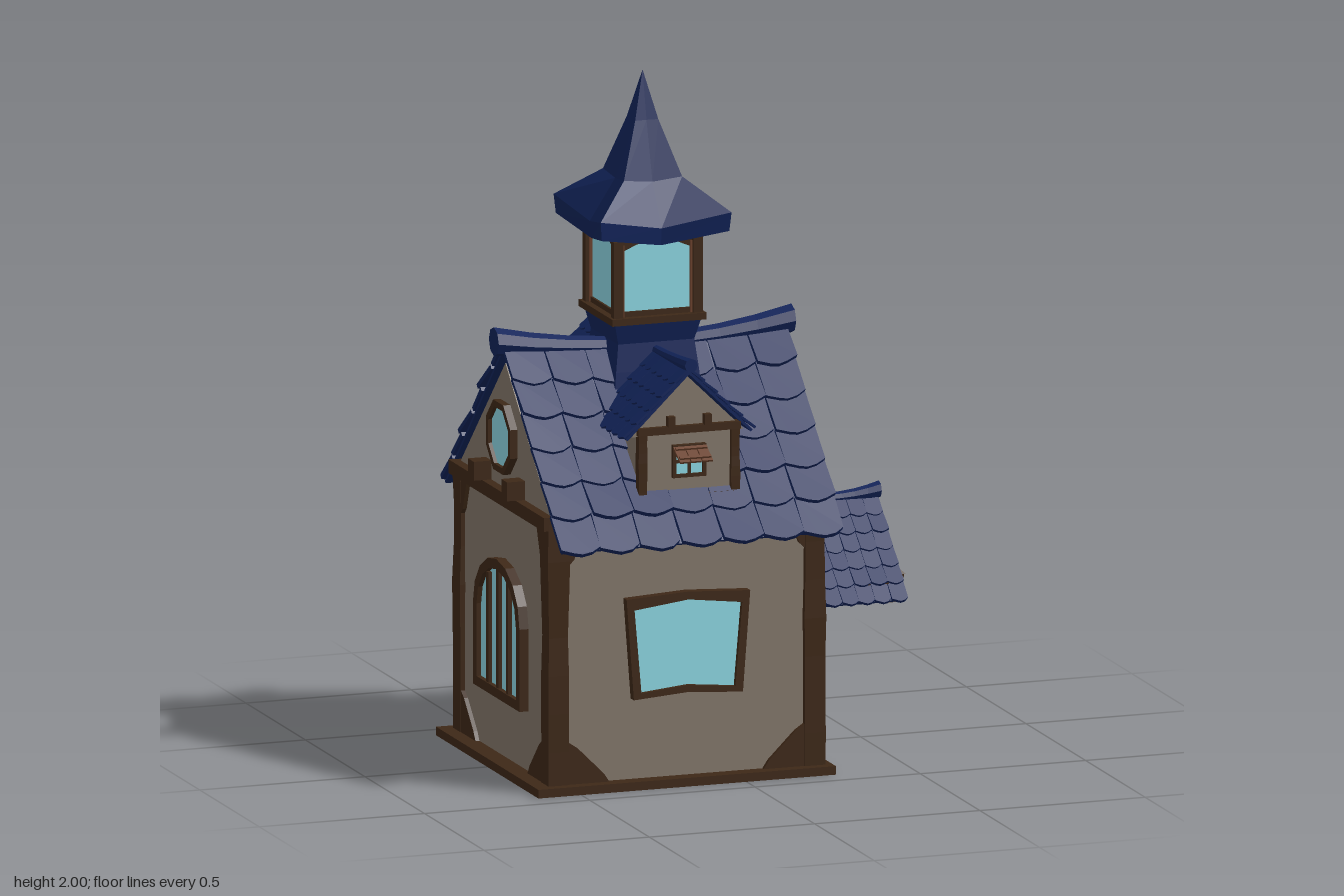
import * as THREE from 'three';
import { mergeGeometries } from 'three/addons/utils/BufferGeometryUtils.js';

const mat = (color, side = THREE.FrontSide) => new THREE.MeshStandardMaterial({ color, side, flatShading: true });
const BLUE = mat(0x12245a), WOOD = mat(0x3e2817), PLANK = mat(0x6b412c), DOOR = mat(0x4a2a18);
const WALL = mat(0x84786b, THREE.DoubleSide), GLASS = mat(0x8ed8e4, THREE.DoubleSide), BRASS = mat(0xc9a45a);
const CX = -0.17, TX = -0.16, SLOPE = 0.97;

function add(parent, name, geo, material, x = 0, y = 0, z = 0) {
  const m = new THREE.Mesh(geo, material);
  m.name = name;
  m.position.set(x, y, z);
  parent.add(m);
  return m;
}
const box = (p, name, w, h, d, m, x, y, z) => add(p, name, new THREE.BoxGeometry(w, h, d), m, x, y, z);
const group = (p, name, x = 0, y = 0, z = 0, turn = 0) => {
  const g = new THREE.Group();
  g.name = name;
  g.position.set(x, y, z);
  g.rotation.y = turn;
  p.add(g);
  return g;
};
const vecs = (pts) => pts.map(([x, y]) => new THREE.Vector2(x, y));
const poly = (pts, depth, hole) => {
  const s = new THREE.Shape(vecs(pts));
  if (hole) s.holes.push(new THREE.Path(vecs(hole)));
  return new THREE.ExtrudeGeometry(s, { depth, bevelEnabled: false });
};
// frame with a glass pane, facing +z
function framed(p, name, outer, inner, depth, z = 0) {
  add(p, name + 'Frame', poly(outer, depth, inner), WOOD, 0, 0, z);
  add(p, name + 'Pane', new THREE.ShapeGeometry(new THREE.Shape(vecs(inner))), GLASS, 0, 0, z + depth * 0.5);
}
const wobble = (i) => Math.sin(i * 12.9898) * 0.5 + Math.sin(i * 4.137) * 0.5;

// two tiled slopes; ridge along local x at the origin
function tiledRoof(p, name, len, run, rows, cols, thick, sag = 0) {
  const a = Math.atan(SLOPE), L = run / Math.cos(a), h = L / (rows + 0.25), w = len / cols, parts = [];
  for (const turn of [0, Math.PI]) {
    const place = (g) => parts.push(g.rotateX(a - Math.PI / 2).rotateY(turn));
    place(new THREE.BoxGeometry(len * 0.98, L * 0.96, 0.008).toNonIndexed().translate(0, -L * 0.48, -0.004));
    for (let r = 0; r < rows; r++) for (let c = 0; c < cols; c++) {
      const n = wobble(r * 7 + c * 3 + turn + 1), e = w * 0.485, j = w * 0.05 * n;
      const g = poly([[-e, 0], [-e + j, -h * 1.07], [-e * 0.4, -h * 1.2], [j, -h * 1.25],
        [e * 0.5, -h * 1.19], [e + j, -h * (1.05 + 0.04 * n)], [e, 0]], thick);
      place(g.rotateX(-0.1 - 0.03 * n).translate((c + 0.5) * w - len / 2, -r * h, 0));
    }
  }
  const geo = mergeGeometries(parts), v = geo.attributes.position;
  for (let i = 0; i < v.count; i++) {
    const u = 2 * v.getX(i) / len, t = Math.max(0, 1 - Math.abs(v.getZ(i)) / run);
    v.setY(i, v.getY(i) + sag * u * u * t);
  }
  geo.computeVertexNormals();
  return add(p, name, geo, BLUE);
}
// ridge cap along local x, swept up and thickened toward its ends
function ridge(p, name, len, r, lift, x, y, z) {
  const g = new THREE.CylinderGeometry(r, r, len, 8, 8).rotateZ(Math.PI / 2), v = g.attributes.position;
  for (let i = 0; i < v.count; i++) {
    const u = (2 * v.getX(i) / len) ** 2, k = 0.65 + 0.35 * u;
    v.setXYZ(i, v.getX(i), v.getY(i) * k + lift * u, v.getZ(i) * k);
  }
  return add(p, name, g, BLUE, x, y, z);
}
function post(p, name, w, h, x, y, z) {
  const g = new THREE.BoxGeometry(w, h, w, 1, 7, 1), v = g.attributes.position;
  for (let i = 0; i < v.count; i++) {
    const k = 1 + 0.1 * wobble(Math.round(v.getY(i) * 100) + x * 9 + z * 5);
    v.setX(i, v.getX(i) * k);
    v.setZ(i, v.getZ(i) * k);
  }
  return add(p, name, g, WOOD, x, y, z);
}

// diagonal corner braces of one wall
function braces(p, half) {
  for (const s of [-1, 1]) {
    const low = [[half, 0.02], [half, 0.15], [half - 0.03, 0.13], [half - 0.11, 0.05], [half - 0.13, 0.02]];
    const high = [[half, 0.76], [half - 0.05, 0.76], [half - 0.02, 0.68], [half, 0.66]];
    for (const pts of [low, high]) {
      const q = pts.map(([x, y]) => [x * s, y]);
      add(p, 'brace', poly(q, 0.012), WOOD);
    }
  }
}

function spireRoof(p) {
  // [half width at side middle, y, half width at corner, y] from tip to underside
  const rows = [[0, 2, 0, 2], [0.033, 1.86, 0.035, 1.86], [0.083, 1.69, 0.088, 1.7], [0.16, 1.57, 0.198, 1.61],
    [0.155, 1.52, 0.193, 1.555], [0.12, 1.535, 0.12, 1.535], [0, 1.54, 0, 1.54]];
  const g = new THREE.CylinderGeometry(1, 1, 1, 8, rows.length - 1, true), v = g.attributes.position;
  for (let i = 0; i < v.count; i++) {
    const k = i % 9, [m, my, c, cy] = rows[Math.floor(i / 9)], t = k * Math.PI / 4;
    const r = k % 2 ? c * Math.SQRT2 : m;
    v.setXYZ(i, Math.sin(t) * r, k % 2 ? cy : my, Math.cos(t) * r);
  }
  add(p, 'spireRoof', g, BLUE);
}

function tower(root) {
  const t = group(root, 'tower', TX);
  const prof = vecs([[0.14, 1.0], [0.125, 1.15], [0.115, 1.23], [0.13, 1.29]].map(([r, y]) => [r * Math.SQRT2, y]));
  add(t, 'towerBase', new THREE.LatheGeometry(prof, 4, Math.PI / 4), BLUE);
  box(t, 'towerPlatform', 0.285, 0.02, 0.285, WOOD, 0, 1.3, 0);
  for (let i = 0; i < 4; i++) {
    const f = group(t, 'towerSide', 0, 0, 0, i * Math.PI / 2);
    framed(f, 'towerWindow', [[-0.12, 1.31], [0.12, 1.31], [0.12, 1.54], [-0.12, 1.54]],
      [[-0.105, 1.325], [0.105, 1.325], [0.108, 1.5], [0.06, 1.52], [0, 1.527], [-0.06, 1.52], [-0.108, 1.5]], 0.014, 0.108);
    box(f, 'towerPost', 0.028, 0.225, 0.028, WOOD, 0.12, 1.42, 0.12);
    for (const s of [-1, 1]) box(f, 'towerTrim', 0.008, 0.21, 0.008, PLANK, s * 0.104, 1.415, 0.12);
  }
  spireRoof(t);
}

function dormer(root, turn) {
  const d = group(root, 'dormer', TX, 0, 0, turn);
  add(d, 'dormerWall', poly([[-0.145, 0.82], [0.145, 0.82], [0.145, 1.02], [0.17, 1.02], [0, 1.185], [-0.17, 1.02], [-0.145, 1.02]], 0.28), WALL, 0, 0, 0.1);
  for (const s of [-1, 1]) {
    post(d, 'dormerPost', 0.026, 0.2, s * 0.14, 0.93, 0.38);
    box(d, 'beamEnd', 0.022, 0.03, 0.03, WOOD, s * 0.055, 1.06, 0.385);
  }
  box(d, 'dormerSill', 0.3, 0.022, 0.03, WOOD, 0, 0.835, 0.38);
  box(d, 'dormerBeam', 0.31, 0.022, 0.03, WOOD, 0, 1.035, 0.38);
  framed(d, 'dormerWindow', [[-0.05, 0.895], [0.05, 0.895], [0.05, 0.99], [-0.05, 0.99]],
    [[-0.04, 0.905], [0.04, 0.905], [0.04, 0.98], [-0.04, 0.98]], 0.016, 0.38);
  box(d, 'windowBar', 0.009, 0.08, 0.012, WOOD, 0, 0.942, 0.388);
  box(d, 'windowBar', 0.08, 0.009, 0.012, WOOD, 0, 0.942, 0.388);
  // propped shutter
  const sh = group(d, 'shutter', 0, 0.985, 0.392);
  sh.rotation.x = 0.5;
  for (let i = -1; i <= 1; i++) box(sh, 'shutterPlank', 0.031, 0.006, 0.07, PLANK, i * 0.034, 0, 0.035);
  for (const z of [0.015, 0.055]) box(sh, 'shutterBatten', 0.095, 0.006, 0.01, PLANK, 0, 0.006, z);
  const r = group(d, 'dormerRoof', 0, 1.205, 0.25, Math.PI / 2);
  tiledRoof(r, 'dormerTiles', 0.29, 0.2, 5, 6, 0.007);
}

function porch(root) {
  const p = group(root, 'porch', 0.235, 0, 0, Math.PI / 2);
  add(p, 'porchGable', poly([[-0.19, 0.495], [0.19, 0.495], [0, 0.68]], 0.25), WALL);
  for (let i = 0; i < 5; i++) box(p, 'porchBeam', 0.45, 0.02, 0.024, WOOD, 0, 0.488, 0.03 + i * 0.057);
  for (const s of [-1, 1]) {
    box(p, 'beamEnd', 0.024, 0.028, 0.03, WOOD, s * 0.07, 0.51, 0.262);
    box(p, 'porchPlate', 0.03, 0.022, 0.3, WOOD, s * 0.2, 0.478, 0.14);
  }
  const r = group(p, 'porchRoof', 0, 0.7, 0.165, Math.PI / 2);
  tiledRoof(r, 'porchTiles', 0.3, 0.265, 6, 6, 0.009);
  ridge(r, 'porchRidge', 0.31, 0.025, 0.015, 0, 0.005, 0);
  // hanging lantern
  const l = group(root, 'lantern', 0.593, 0, 0);
  box(l, 'hookArm', 0.08, 0.008, 0.008, WOOD, -0.035, 0.52, 0);
  box(l, 'hookDrop', 0.007, 0.03, 0.007, WOOD, 0, 0.507, 0);
  const taper = (top, bot, h, y, n) => add(l, n, new THREE.CylinderGeometry(top, bot, h, 4).rotateY(Math.PI / 4), WOOD, 0, y, 0);
  taper(0.01, 0.046, 0.024, 0.485, 'lanternCap');
  taper(0.022, 0.026, 0.012, 0.396, 'lanternFoot');
  box(l, 'candle', 0.012, 0.03, 0.012, BRASS, 0, 0.415, 0);
  for (const x of [-1, 1]) for (const z of [-1, 1]) {
    const b = box(l, 'lanternBar', 0.006, 0.08, 0.006, WOOD, x * 0.021, 0.437, z * 0.021);
    b.rotation.set(z * 0.12, 0, -x * 0.12);
  }
}

function endWall(root, turn, x) {
  const f = group(root, 'endWall', x, 0, 0, turn);
  add(f, 'gableWall', poly([[-0.385, 0], [0.385, 0], [0.385, 0.8], [0, 1.175], [-0.385, 0.8]], 0.02), WALL, 0, 0, -0.02);
  braces(f, 0.345);
  box(f, 'gableBeam', 0.8, 0.04, 0.04, WOOD, 0, 0.79, 0.008);
  for (const s of [-1, 1]) box(f, 'beamEnd', 0.05, 0.055, 0.06, WOOD, s * 0.14, 0.838, 0.024);
  const oct = (r) => Array.from({ length: 8 }, (_, i) => {
    const t = (i + 0.5) * Math.PI / 4;
    return [r * Math.cos(t), 0.96 + r * Math.sin(t)];
  });
  framed(f, 'gableWindow', oct(0.11), oct(0.09), 0.022);
  return f;
}

export function createModel() {
  const root = new THREE.Group();
  root.name = 'towerHouse';
  const rect = (x, y) => [[-x, -y], [x, -y], [x, y], [-x, y]];
  add(root, 'baseFrame', poly(rect(0.45, 0.43), 0.025, rect(0.375, 0.355)).rotateX(-Math.PI / 2), WOOD, -0.18, 0, 0);
  for (const x of [-1, 1]) for (const z of [-1, 1]) post(root, 'cornerPost', 0.062, 0.78, CX + x * 0.388, 0.4, z * 0.37);

  // long walls with bowed windows, and a dormer above each
  for (const turn of [0, Math.PI]) {
    const f = group(root, 'longWall', CX, 0, turn ? -0.385 : 0.385, turn);
    box(f, 'wall', 0.81, 0.8, 0.02, WALL, 0, 0.4, -0.01);
    braces(f, 0.36);
    framed(f, 'bowedWindow', [[-0.165, 0.26], [0, 0.272], [0.165, 0.26], [0.187, 0.555], [0, 0.565], [-0.187, 0.555]],
      [[-0.142, 0.278], [0, 0.292], [0.142, 0.278], [0.163, 0.522], [0, 0.542], [-0.163, 0.522]], 0.028);
    dormer(root, turn);
  }

  // door end
  const e = endWall(root, Math.PI / 2, 0.235);
  add(e, 'doorFrame', poly([[-0.125, 0.02], [-0.1, 0.02], [-0.1, 0.375], [0.105, 0.375], [0.105, 0.02], [0.128, 0.02], [0.133, 0.4], [-0.128, 0.4]], 0.028), PLANK);
  for (let i = 0; i < 4; i++) box(e, 'doorPlank', 0.048, 0.355, 0.014, DOOR, -0.075 + i * 0.051, 0.2, 0.007);
  for (const y of [0.1, 0.31]) box(e, 'doorBand', 0.2, 0.02, 0.008, WOOD, 0, y, 0.016);
  add(e, 'doorKnob', new THREE.SphereGeometry(0.01, 8, 6), BRASS, 0.087, 0.2, 0.022);
  porch(root);

  // arched window end
  const w = endWall(root, -Math.PI / 2, -0.575);
  const arch = (r, b, top) => {
    const pts = [[-r, b], [r, b]];
    for (let i = 0; i <= 8; i++) pts.push([r * Math.cos(i * Math.PI / 8), 0.44 + (top - 0.44) * Math.sin(i * Math.PI / 8)]);
    return pts;
  };
  framed(w, 'archedWindow', arch(0.195, 0.2, 0.605), arch(0.165, 0.228, 0.575), 0.028);
  for (let i = -1; i <= 1; i++) box(w, 'windowBar', 0.02, i ? 0.33 : 0.35, 0.022, WOOD, i * 0.083, i ? 0.385 : 0.4, 0.014);

  // main roof and ridges
  const r = group(root, 'mainRoof', TX, 1.2, 0);
  tiledRoof(r, 'roofTiles', 0.86, 0.51, 6, 7, 0.014, 0.025);
  ridge(r, 'mainRidge', 0.9, 0.042, 0.04, 0, -0.03 + 0.03, 0);
  ridge(root, 'dormerRidge', 0.82, 0.02, 0.018, TX, 1.205, 0).rotation.y = Math.PI / 2;
  tower(root);
  return root;
}
